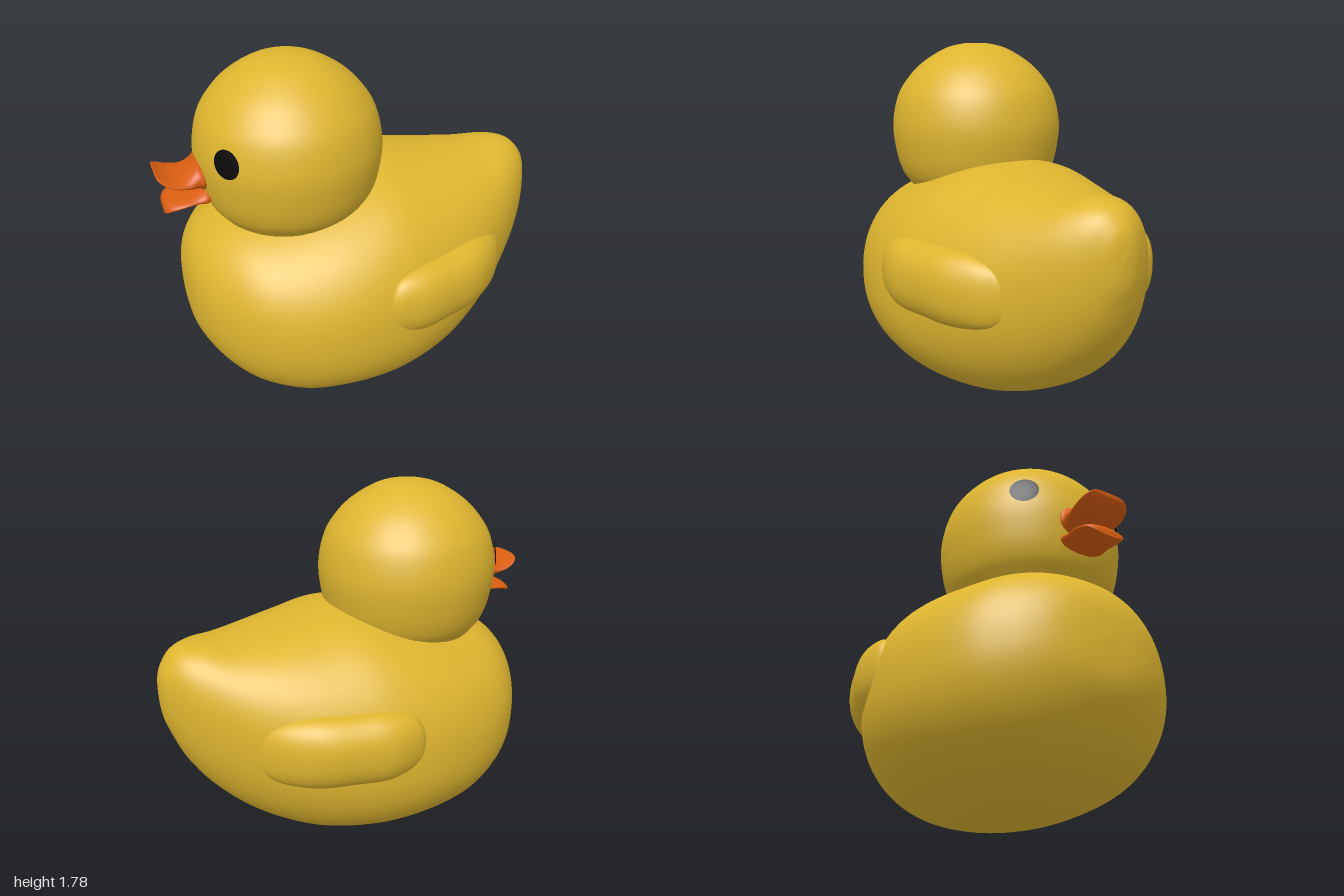
import * as THREE from 'three';
import { mergeVertices } from 'three/addons/utils/BufferGeometryUtils.js';

// Closed skin over stations [x, bottom, top, yWidest, halfWidth, zCentre], x ascending.
// The outline of each cross-section is a superellipse with exponent p.
function loft(stations, p = 2, rows = 60, sides = 64) {
  const heights = new THREE.CatmullRomCurve3(
    stations.map(s => new THREE.Vector3(s[0], s[1], s[2])), false, 'catmullrom');
  const widths = new THREE.CatmullRomCurve3(
    stations.map(s => new THREE.Vector3(s[3], s[4], s[5] || 0)), false, 'catmullrom');
  const bend = v => Math.sign(v) * Math.pow(Math.abs(v), 2 / p);
  const pos = [], index = [];
  for (let i = 0; i <= rows; i++) {
    const h = heights.getPoint(i / rows), w = widths.getPoint(i / rows);
    for (let j = 0; j < sides; j++) {
      const a = j / sides * Math.PI * 2;
      const s = bend(Math.sin(a)), c = bend(Math.cos(a));
      pos.push(h.x, w.x + s * (s > 0 ? h.z - w.x : w.x - h.y), w.z + c * w.y);
      if (i === rows) continue;
      const k = i * sides + j, n = i * sides + (j + 1) % sides;
      index.push(k, k + sides, n, n, k + sides, n + sides);
    }
  }
  const geo = new THREE.BufferGeometry();
  geo.setAttribute('position', new THREE.Float32BufferAttribute(pos, 3));
  geo.setIndex(index);
  const merged = mergeVertices(geo, 1e-5);
  merged.computeVertexNormals();
  return merged;
}

export function createModel() {
  const duck = new THREE.Group();
  duck.name = 'toyDuck';
  const material = (name, color) => {
    const m = new THREE.MeshStandardMaterial({ color });
    m.name = name;
    return m;
  };
  const yellow = material('yellow', 0xdeb52f);
  const orange = material('orange', 0xd95d10);
  const black = material('black', 0x0a0a0a);
  const add = (name, geo, mat) => {
    const mesh = new THREE.Mesh(geo, mat);
    mesh.name = name;
    duck.add(mesh);
    return mesh;
  };

  // Body, from breast (-x) to tail (+x)
  add('body', loft([
    [-0.93, 0.62, 0.62, 0.62, 0],
    [-0.915, 0.46, 0.78, 0.61, 0.16],
    [-0.87, 0.35, 0.89, 0.6, 0.3],
    [-0.78, 0.225, 0.98, 0.58, 0.44],
    [-0.65, 0.115, 1.045, 0.57, 0.56],
    [-0.45, 0.03, 1.09, 0.55, 0.65],
    [-0.2, 0.003, 1.15, 0.55, 0.69],
    [0.05, 0.005, 1.195, 0.55, 0.67],
    [0.3, 0.045, 1.165, 0.58, 0.595],
    [0.5, 0.13, 1.14, 0.64, 0.5],
    [0.66, 0.24, 1.13, 0.7, 0.395],
    [0.8, 0.385, 1.135, 0.77, 0.285],
    [0.9, 0.54, 1.11, 0.83, 0.19],
    [0.96, 0.69, 1.05, 0.88, 0.105],
    [0.985, 0.78, 0.99, 0.9, 0.055],
    [0.995, 0.9, 0.9, 0.9, 0]
  ], 2.2, 90, 80), yellow);

  // Head
  const profile = new THREE.SplineCurve([
    [0.33, 0.99], [0.37, 1.04], [0.41, 1.1], [0.44, 1.2], [0.455, 1.35], [0.425, 1.5],
    [0.365, 1.6], [0.285, 1.68], [0.17, 1.75], [0.07, 1.777], [0, 1.78]
  ].map(([r, y]) => new THREE.Vector2(r, y))).getPoints(50);
  profile.forEach(v => { v.x = Math.max(v.x, 0); });
  add('head', new THREE.LatheGeometry(profile, 64), yellow).position.x = -0.35;

  // Wings and eyes, one per side
  for (const side of [1, -1]) {
    const label = side > 0 ? 'front' : 'back';
    add(label + 'Wing', loft([
      [-0.1, 0.68, 0.68, 0.68, 0, 0.655],
      [-0.085, 0.6, 0.76, 0.68, 0.03, 0.64],
      [-0.03, 0.54, 0.84, 0.69, 0.085, 0.61],
      [0.1, 0.505, 0.87, 0.69, 0.135, 0.575],
      [0.25, 0.5, 0.87, 0.69, 0.145, 0.53],
      [0.42, 0.5, 0.87, 0.69, 0.145, 0.475],
      [0.56, 0.525, 0.835, 0.68, 0.1, 0.42],
      [0.64, 0.58, 0.77, 0.67, 0.045, 0.375],
      [0.665, 0.67, 0.67, 0.67, 0, 0.36]
    ].map(s => [...s.slice(0, 5), s[5] * side]), 2.2, 40, 40), yellow);

    const normal = new THREE.Vector3(-0.36, 0.06, 0.27 * side).normalize();
    const eye = add(label + 'Eye',
      new THREE.SphereGeometry(0.458, 32, 6, 0, Math.PI * 2, 0, 0.152), black);
    eye.position.set(-0.711, 1.42, 0.268 * side).addScaledVector(normal, -0.45);
    eye.quaternion.setFromUnitVectors(new THREE.Vector3(0, 1, 0), normal);
  }

  // Open bill, tips at -x
  add('upperBill', loft([
    [-1, 1.32, 1.32, 1.32, 0.05],
    [-0.995, 1.298, 1.322, 1.31, 0.09],
    [-0.97, 1.272, 1.305, 1.29, 0.12],
    [-0.92, 1.247, 1.287, 1.267, 0.132],
    [-0.86, 1.222, 1.295, 1.255, 0.125],
    [-0.81, 1.205, 1.34, 1.26, 0.115],
    [-0.78, 1.195, 1.38, 1.27, 0.115],
    [-0.74, 1.28, 1.28, 1.28, 0]
  ], 2, 40, 36), orange);
  add('lowerBill', loft([
    [-0.98, 1.107, 1.107, 1.107, 0.04],
    [-0.975, 1.105, 1.145, 1.12, 0.075],
    [-0.95, 1.118, 1.166, 1.14, 0.105],
    [-0.89, 1.135, 1.178, 1.155, 0.12],
    [-0.83, 1.135, 1.19, 1.16, 0.115],
    [-0.77, 1.125, 1.21, 1.165, 0.11],
    [-0.72, 1.165, 1.165, 1.165, 0]
  ], 2, 40, 36), orange);

  return duck;
}
